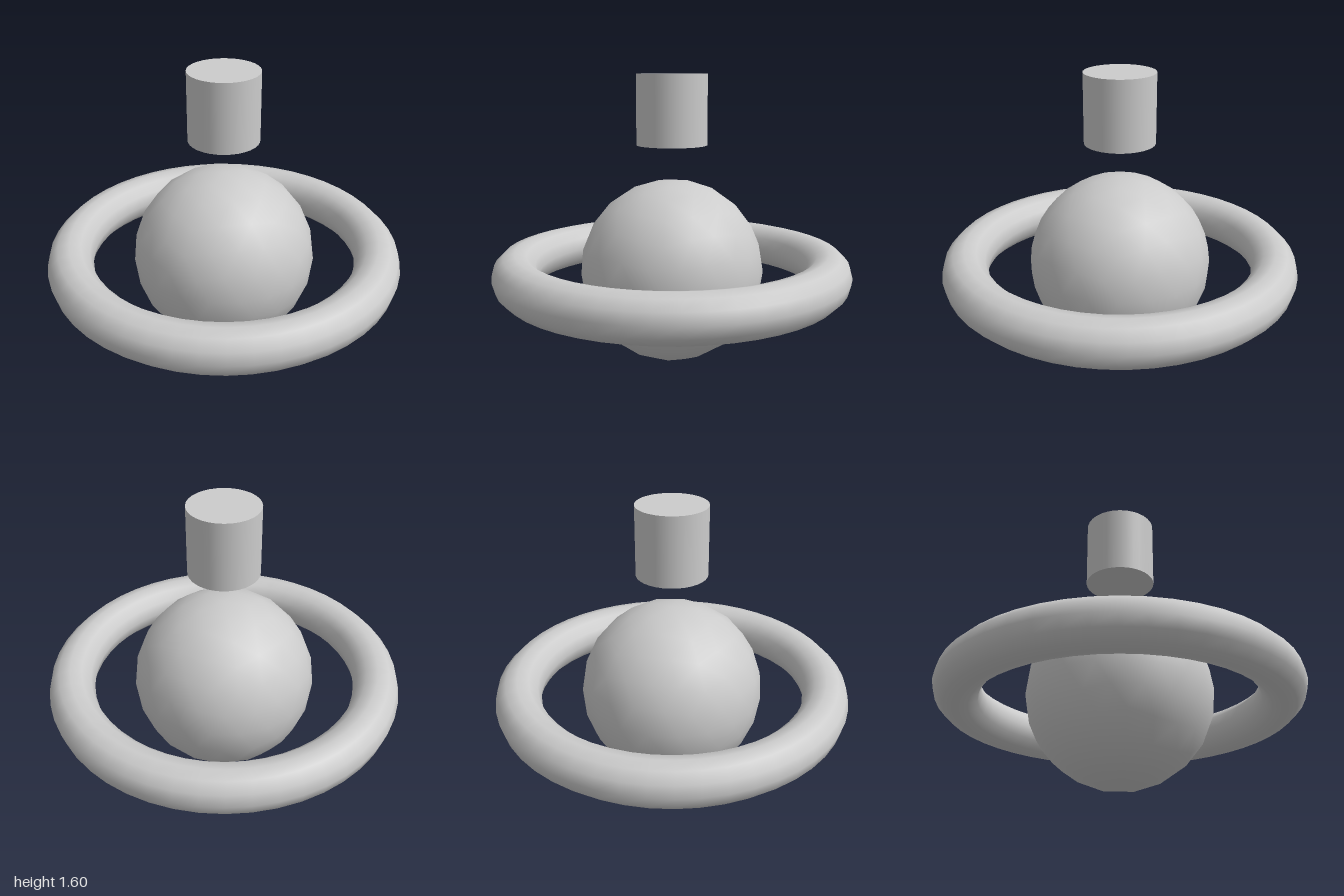
import * as THREE from 'three';

const R = 0.513; // ball radius; the ring shares its centre height

// Icosphere with a pole up: each pass halves the edges and pushes them onto the sphere.
function icosphere(radius, passes) {
  let geo = new THREE.IcosahedronGeometry(radius, 1);
  for (let i = 1; i < passes; i++) {
    const pos = Array.from(geo.attributes.position.array);
    geo = new THREE.PolyhedronGeometry(pos, pos.slice(0, pos.length / 3).map((_, k) => k), radius, 1);
  }
  const golden = (1 + Math.sqrt(5)) / 2;
  return geo.rotateX(-Math.atan(golden)).rotateY(Math.PI / 2);
}

export function createModel() {
  const group = new THREE.Group();
  const material = new THREE.MeshStandardMaterial({ color: 0xcccccc });

  const add = (name, geometry, y) => {
    const mesh = new THREE.Mesh(geometry, material);
    mesh.name = name;
    mesh.position.y = y;
    group.add(mesh);
  };

  // Central ball
  add('ball', icosphere(R, 2), R);

  // Flat-lying ring around the ball
  add('ring', new THREE.TorusGeometry(0.872, 0.128, 12, 48).rotateX(-Math.PI / 2), R);

  // Cylinder floating above
  add('floatingCylinder', new THREE.CylinderGeometry(0.195, 0.195, 0.385, 32), 1.41);

  return group;
}
